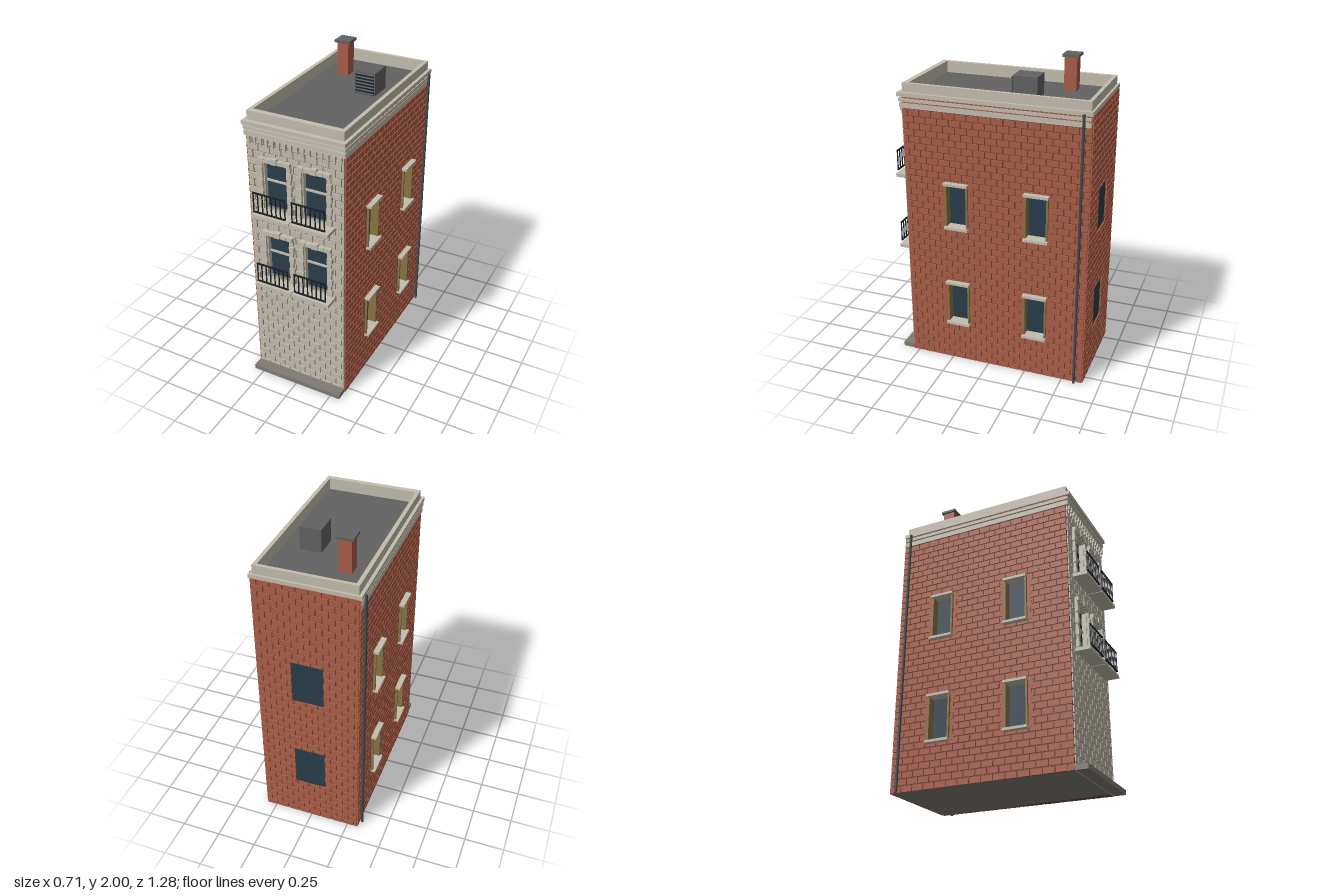
import * as THREE from 'three';
import { mergeGeometries } from 'three/addons/utils/BufferGeometryUtils.js';

const mat = (name, color) => {
  const m = new THREE.MeshStandardMaterial({ color });
  m.name = name;
  return m;
};

export function createModel() {
  const M = {
    red: mat('redBrick', 0xaa5d47),
    redMortar: mat('redMortar', 0x68433a),
    pale: mat('paleBrick', 0xc0baab),
    trim: mat('stoneTrim', 0xc3bdae),
    base: mat('baseStone', 0x7f7b73),
    roof: mat('roofGrey', 0x626262),
    glass: mat('glass', 0x293d4b),
    iron: mat('iron', 0x1a2026),
    ochre: mat('ochreFrame', 0x8a7445),
    pipe: mat('pipeGrey', 0x454b50),
  };
  const root = new THREE.Group();
  root.name = 'townhouse';

  // Box geometry from its two extreme corners
  const slab = (x0, x1, y0, y1, z0, z1) =>
    new THREE.BoxGeometry(x1 - x0, y1 - y0, z1 - z0)
      .translate((x0 + x1) / 2, (y0 + y1) / 2, (z0 + z1) / 2);
  const add = (parent, name, material, ...geos) => {
    const mesh = new THREE.Mesh(geos.length > 1 ? mergeGeometries(geos) : geos[0], material);
    mesh.name = name;
    parent.add(mesh);
  };

  // Cut opening o out of rectangle r; rectangles are [u0, u1, v0, v1]
  const cut = (r, o) => {
    const [a, b, c, d] = r;
    if (o[0] >= b || o[1] <= a || o[2] >= d || o[3] <= c) return [r];
    const lo = Math.max(c, o[2]), hi = Math.min(d, o[3]);
    return [[a, b, c, lo], [a, b, hi, d], [a, o[0], lo, hi], [o[1], b, lo, hi]]
      .filter(p => p[1] - p[0] > 0.004 && p[3] - p[2] > 0.004);
  };

  // Wall facing local +z: mortar panel with openings, and raised running-bond bricks
  const wallHeight = 1.772;
  function wall(name, w, openings, pitch, brickMat, mortarMat) {
    const g = new THREE.Group();
    g.name = name;
    const h = wallHeight, length = 0.076, gap = 0.007;
    const shape = new THREE.Shape();
    shape.moveTo(-w / 2, 0).lineTo(w / 2, 0).lineTo(w / 2, h).lineTo(-w / 2, h).closePath();
    for (const [a, b, c, d] of openings) {
      const hole = new THREE.Path();
      hole.moveTo(a, c).lineTo(a, d).lineTo(b, d).lineTo(b, c).closePath();
      shape.holes.push(hole);
    }
    add(g, 'mortarPanel', mortarMat,
      new THREE.ExtrudeGeometry(shape, { depth: 0.05, bevelEnabled: false }).translate(0, 0, -0.05));
    const bricks = [];
    for (let j = 0; j * pitch < h - 0.01; j++) {
      const v0 = j * pitch, v1 = Math.min(h, v0 + pitch - gap);
      for (let u = -w / 2 - (j % 2) * length / 2; u < w / 2; u += length) {
        const a = Math.max(u, -w / 2), b = Math.min(u + length - gap, w / 2);
        if (b - a < 0.006) continue;
        let parts = [[a, b, v0, v1]];
        for (const o of openings) parts = parts.flatMap(p => cut(p, o));
        for (const p of parts) bricks.push(slab(...p, -0.003, 0.007));
      }
    }
    add(g, 'bricks', brickMat, ...bricks);
    root.add(g);
    return g;
  }

  // Side walls with two storeys of recessed windows
  const zMid = -0.046;
  for (const s of [1, -1]) {
    const openings = [];
    for (const z of [0.198, -0.316])
      for (const y of [0.28, 0.96]) {
        const u = -s * (z - zMid);
        openings.push([u - 0.07, u + 0.07, y, y + 0.29]);
      }
    const g = wall(s > 0 ? 'leftWall' : 'rightWall', 1.172, openings, 0.0425, M.red, M.redMortar);
    g.position.set(s * 0.313, 0, zMid);
    g.rotation.y = s * Math.PI / 2;
    for (const [a, b, c, d] of openings) {
      const win = new THREE.Group();
      win.name = 'sideWindow';
      g.add(win);
      add(win, 'pane', M.glass, slab(a, b, c, d, -0.04, -0.032));
      add(win, 'jambs', M.ochre,
        slab(a - 0.005, a + 0.007, c, d, -0.045, 0.023), slab(b - 0.007, b + 0.005, c, d, -0.045, 0.023));
      add(win, 'lintelAndSill', M.trim,
        slab(a - 0.008, b + 0.008, d - 0.006, d + 0.01, -0.045, 0.041),
        slab(a - 0.008, b + 0.008, c - 0.008, c + 0.008, -0.045, 0.041));
      const quoins = [];
      for (let i = 0; i < 7; i++) {
        const t = i % 2 ? 0.024 : 0.035, y = c + i * 0.0415;
        quoins.push(slab(a - t, a - 0.005, y, y + 0.0405, 0, 0.009),
          slab(b + 0.005, b + t, y, y + 0.0405, 0, 0.009));
      }
      add(win, 'quoins', M.red, ...quoins);
    }
    // Downpipe at the rear corner
    add(root, 'downpipe', M.pipe,
      new THREE.CylinderGeometry(0.009, 0.009, 1.78, 12).translate(s * 0.334, 0.89, -0.585));
  }

  // Back wall with two plain windows
  const backOpenings = [0.28, 0.96].map(y => [-0.1, 0.1, y, y + 0.29]);
  const back = wall('backWall', 0.626, backOpenings, 0.0425, M.red, M.redMortar);
  back.position.z = -0.632;
  back.rotation.y = Math.PI;
  for (const [a, b, c, d] of backOpenings)
    add(back, 'backPane', M.glass, slab(a, b, c, d, -0.012, -0.004));

  // Front wall with sash windows and balconies
  const frontOpenings = [];
  for (const x of [-0.128, 0.128])
    for (const y of [0.755, 1.25]) frontOpenings.push([x - 0.08, x + 0.08, y, y + 0.31]);
  const front = wall('frontWall', 0.62, frontOpenings, 0.0475, M.pale, M.base);
  front.position.z = 0.54;
  for (const [a, b, c, d] of frontOpenings) {
    const win = new THREE.Group(), mid = (a + b) / 2;
    win.name = 'frontWindow';
    front.add(win);
    add(win, 'pane', M.glass, slab(a, b, c, d, -0.03, -0.022));
    add(win, 'sashFrame', M.trim,
      slab(a, a + 0.006, c, d, -0.03, 0.008), slab(b - 0.006, b, c, d, -0.03, 0.008),
      slab(a, b, c + 0.172, c + 0.184, -0.03, -0.012), slab(a, b, d - 0.006, d, -0.03, 0.008));
    // Stone surround of alternating blocks under a lintel with a keystone
    const blocks = [];
    for (let i = 0; i < 8; i++) {
      const t = i % 2 ? 0.026 : 0.033, y = c + i * 0.039, z = i % 2 ? 0.022 : 0.027;
      blocks.push(slab(a - t, a, y, y + 0.038, 0, z), slab(b, b + t, y, y + 0.038, 0, z));
    }
    for (let i = 0; i < 5; i++) {
      const x = a - 0.025 + i * 0.042, key = i === 2 ? 0.01 : 0;
      blocks.push(slab(x + 0.001, x + 0.041, d, d + 0.025 + key, 0, 0.03 + key / 2));
    }
    add(win, 'surround', M.trim, ...blocks);
    add(win, 'balconySlab', M.trim, slab(mid - 0.126, mid + 0.126, c - 0.032, c - 0.01, 0, 0.1));
    // Iron railing
    const x0 = mid - 0.105, bars = [];
    for (let i = 0; i < 8; i++)
      bars.push(slab(x0 + i * 0.03 - 0.003, x0 + i * 0.03 + 0.003, c + 0.006, c + 0.138, 0.091, 0.097));
    for (const y of [c + 0.006, c + 0.132])
      bars.push(slab(x0 - 0.003, x0 + 0.213, y, y + 0.008, 0.09, 0.099));
    add(win, 'railing', M.iron, ...bars);
  }

  // Dentils under the front cornice
  const dentils = [];
  for (let i = 0; i < 16; i++) {
    const x = -0.293 + i * 0.0391;
    dentils.push(slab(x - 0.009, x + 0.009, 1.675, 1.705, 0.54, 0.562),
      slab(x - 0.005, x + 0.005, 1.65, 1.675, 0.54, 0.555));
  }
  add(root, 'dentils', M.trim, ...dentils);

  // Cornice bands and parapet: rings around the roof
  const ring = (x, z0, z1, y0, y1) => {
    const s = new THREE.Shape();
    s.moveTo(-x, -z1).lineTo(x, -z1).lineTo(x, -z0).lineTo(-x, -z0).closePath();
    const h = new THREE.Path();
    h.moveTo(-0.284, -0.505).lineTo(-0.284, 0.6).lineTo(0.284, 0.6).lineTo(0.284, -0.505).closePath();
    s.holes.push(h);
    return new THREE.ExtrudeGeometry(s, { depth: y1 - y0, bevelEnabled: false })
      .rotateX(-Math.PI / 2).translate(0, y0, 0);
  };
  add(root, 'cornice', M.trim,
    ring(0.323, -0.625, 0.556, 1.7, 1.732),
    ring(0.325, -0.625, 0.56, 1.74, 1.76),
    ring(0.328, -0.636, 0.57, 1.77, 1.795));
  add(root, 'parapet', M.trim, ring(0.308, -0.622, 0.54, 1.795, 1.85));
  add(root, 'roofDeck', M.roof, slab(-0.29, 0.29, 1.74, 1.776, -0.61, 0.515));

  // Base
  add(root, 'floor', M.base, slab(-0.312, 0.312, 0, 0.012, -0.63, 0.54));
  add(root, 'frontPlinth', M.base, slab(-0.315, 0.315, 0, 0.03, 0.5, 0.618));

  // Chimney
  add(root, 'chimney', M.red, slab(-0.193, -0.117, 1.76, 1.985, -0.415, -0.337));
  add(root, 'chimneyCap', M.roof, slab(-0.206, -0.104, 1.984, 2, -0.427, -0.325));

  // Rooftop vent with front louvres
  add(root, 'ventBox', M.roof, slab(0.044, 0.177, 1.76, 1.92, -0.262, -0.11));
  add(root, 'ventOpening', M.iron, slab(0.05, 0.171, 1.78, 1.912, -0.111, -0.106));
  const louvres = [];
  for (let i = 0; i < 7; i++)
    louvres.push(new THREE.BoxGeometry(0.125, 0.004, 0.013).rotateX(0.6)
      .translate(0.1105, 1.788 + i * 0.02, -0.104));
  add(root, 'louvres', M.pipe, ...louvres);

  return root;
}
